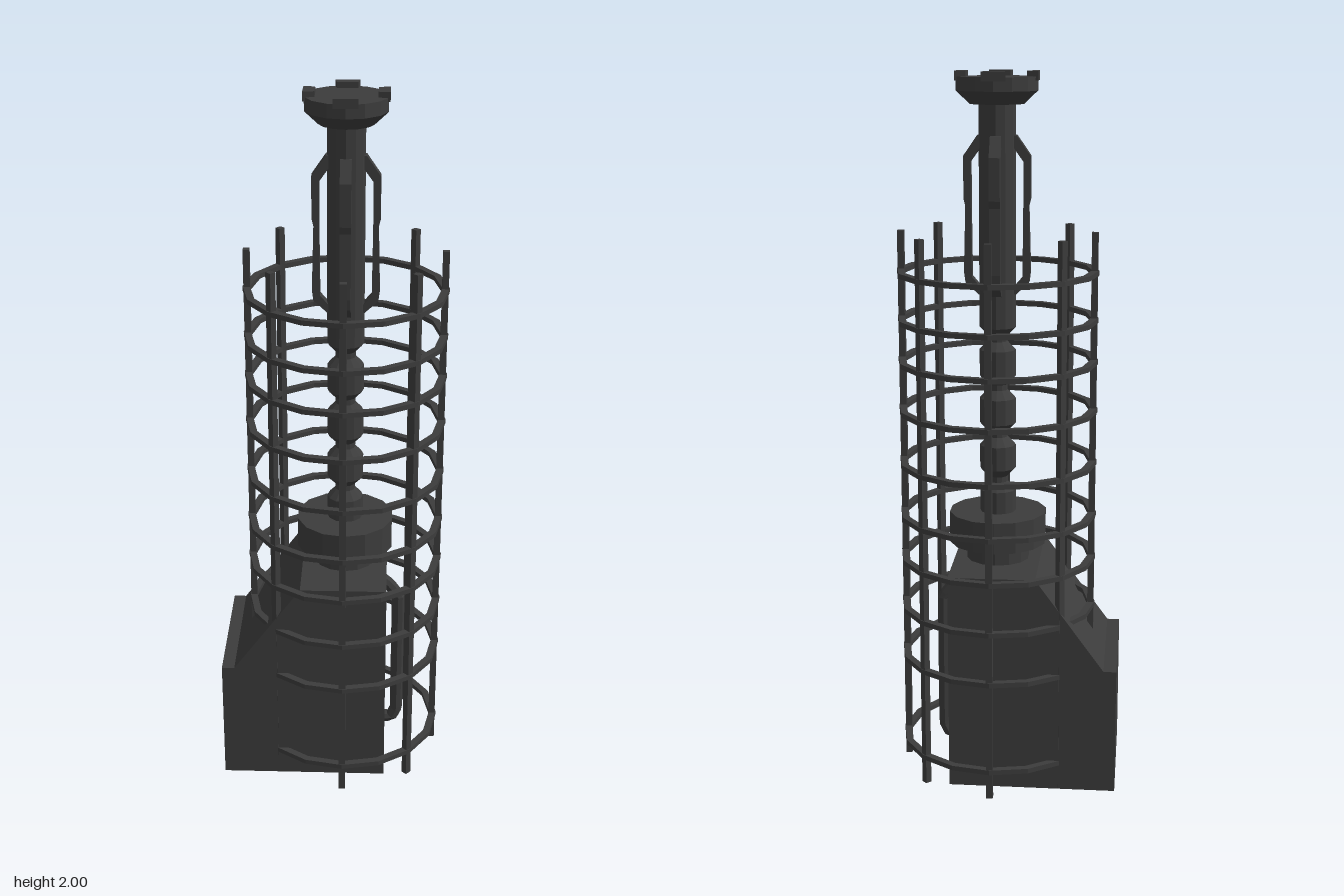
import * as THREE from 'three';

export function createModel() {
  const root = new THREE.Group();
  const darkMetal = new THREE.MeshStandardMaterial({ color: 0x3c3c3c, flatShading: true });
  const cx = 0.035; // axis of the column and cage

  const add = (name, geometry, parent = root) => {
    const mesh = new THREE.Mesh(geometry, darkMetal);
    mesh.name = name;
    parent.add(mesh);
    return mesh;
  };
  const points = (list) => list.map(([a, b]) => new THREE.Vector2(a, b));
  const extrude = (list, depth) => {
    const g = new THREE.ExtrudeGeometry(new THREE.Shape(points(list)), { depth, bevelEnabled: false });
    return g.translate(0, 0, -depth / 2);
  };

  // Base block with a sloping shoulder
  add('baseBlock', extrude([
    [-0.316, 0], [0.158, 0], [0.158, 0.63], [-0.087, 0.63], [-0.28, 0.365], [-0.316, 0.365],
  ], 0.406));

  // Everything round shares one axis
  const core = new THREE.Group();
  core.name = 'core';
  core.position.x = cx;
  root.add(core);

  // Collar on the block
  add('collar', new THREE.LatheGeometry(points([
    [0, 0.62], [0.09, 0.62], [0.09, 0.68], [0.139, 0.68], [0.139, 0.77], [0, 0.77],
  ]), 14), core);

  // Column with pinched joints
  const column = [[0.051, 0.76]];
  for (const y of [0.865, 0.997, 1.133, 1.272]) {
    column.push([0.051, y - 0.032], [0.028, y - 0.008], [0.028, y + 0.008], [0.051, y + 0.032]);
  }
  column.push([0.051, 1.92]);
  add('column', new THREE.LatheGeometry(points(column), 12), core);

  // Flared cap with four teeth
  add('cap', new THREE.LatheGeometry(points([
    [0, 1.913], [0.075, 1.913], [0.112, 1.948], [0.112, 1.985], [0, 1.985],
  ]), 14), core);
  for (let i = 0; i < 4; i++) {
    const pivot = new THREE.Group();
    pivot.name = 'side' + (i + 1);
    pivot.rotation.y = i * Math.PI / 2;
    core.add(pivot);

    const tooth = extrude([[0.082, -0.028], [0.113, -0.033], [0.113, 0.033], [0.082, 0.028]], 0.025);
    tooth.rotateX(-Math.PI / 2).translate(0, 1.9875, 0);
    add('capTooth', tooth, pivot);

    // Bent bracket running along the upper column
    add('columnBracket', extrude([
      [0.04, 1.83], [0.054, 1.83], [0.092, 1.775], [0.092, 1.66], [0.087, 1.64], [0.092, 1.46],
      [0.088, 1.43], [0.05, 1.395], [0.04, 1.41], [0.07, 1.445], [0.072, 1.64], [0.072, 1.76], [0.04, 1.805],
    ], 0.03), pivot);
  }

  // Pipe on the side of the block
  const pipePath = new THREE.CurvePath();
  const pipe = [[0.14, 0.56], [0.165, 0.54], [0.194, 0.5], [0.194, 0.1], [0.18, 0.07], [0.14, 0.065]]
    .map(([x, y]) => new THREE.Vector3(x, y, 0));
  for (let i = 1; i < pipe.length; i++) pipePath.add(new THREE.LineCurve3(pipe[i - 1], pipe[i]));
  add('sidePipe', new THREE.TubeGeometry(pipePath, 40, 0.019, 8, false));

  // Cage: upright bars
  const cage = new THREE.Group();
  cage.name = 'cage';
  cage.position.x = cx;
  root.add(cage);
  for (let i = 0; i < 8; i++) {
    const bar = new THREE.BoxGeometry(0.018, 1.57, 0.019).translate(0.269, 0.785, 0);
    add('cageBar', bar.rotateY(i * Math.PI / 4), cage);
  }

  // Cage: faceted hoops
  const hoop = points([
    [0.261, -0.007], [0.281, -0.007], [0.281, 0.007], [0.261, 0.007], [0.261, -0.007],
  ]);
  for (const y of [0.08, 0.344, 0.492, 0.637, 0.765, 0.918, 1.07, 1.208, 1.326, 1.458]) {
    add('cageHoop', new THREE.LatheGeometry(hoop, 16), cage).position.y = y;
  }
  return root;
}
